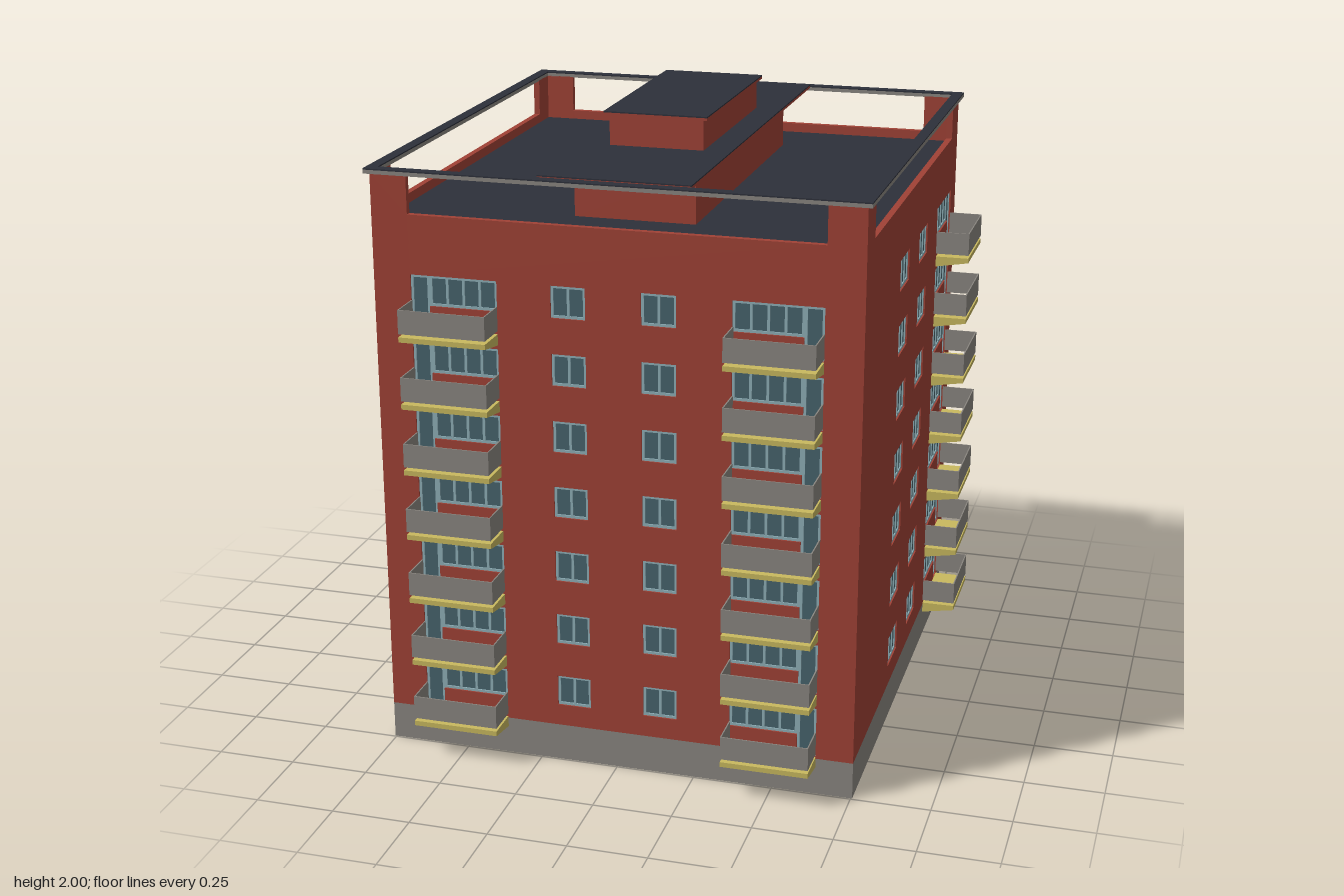
import * as THREE from 'three';

const mat = (color) => new THREE.MeshStandardMaterial({ color });
const RED = mat(0xa04236), GREY = mat(0x8a8680), DARK = mat(0x2d303a);
const YELLOW = mat(0xc9b95f), FRAME = mat(0x8fb0b8), GLASS = mat(0x47646d);

const T = 0.02;                 // wall thickness
const HX = 0.755, HZ = 0.7925;  // half width and half depth of the body
const ZC = -0.0475;             // centre of the body in z
const BASE = 0.12, SILL = 1.75, TOP = 1.872, DECK = 1.72;
const FLOORS = 7, PITCH = 0.2125, FIRST = 0.29; // FIRST: window head, lowest floor
const BAL_W = 0.275, DOOR_W = 0.06, BAL_D = 0.11;

function add(parent, name, geometry, material) {
  const mesh = new THREE.Mesh(geometry, material);
  mesh.name = name;
  parent.add(mesh);
  return mesh;
}

// Box given by its limits
function box(parent, name, material, x0, x1, y0, y1, z0, z1) {
  const m = add(parent, name, new THREE.BoxGeometry(x1 - x0, y1 - y0, z1 - z0), material);
  m.position.set((x0 + x1) / 2, (y0 + y1) / 2, (z0 + z1) / 2);
  return m;
}

const path = (pts, Type = THREE.Path) => new Type(pts.map(([x, y]) => new THREE.Vector2(x, y)));
const rect = (x0, x1, y0, y1) => [[x0, y0], [x1, y0], [x1, y1], [x0, y1]];

function extrude(shape, depth) {
  return new THREE.ExtrudeGeometry(shape, { depth, bevelEnabled: false });
}

// Recessed window: frame with n panes, glass behind it
function addWindow(parent, x0, x1, y0, y1, n) {
  const b = 0.008, pane = (x1 - x0 - b * (n + 1)) / n;
  const shape = path(rect(x0, x1, y0, y1), THREE.Shape);
  for (let i = 0; i < n; i++) {
    const px = x0 + b + i * (pane + b);
    shape.holes.push(path(rect(px, px + pane, y0 + b, y1 - b)));
  }
  const frame = add(parent, 'windowFrame', extrude(shape, 0.012), FRAME);
  frame.position.z = -0.017;
  box(parent, 'windowGlass', GLASS, x0 + 0.002, x1 - 0.002, y0 + 0.002, y1 - 0.002, -0.013, -0.009);
}

// Balcony: tapered slab and a three-sided parapet
function addBalcony(parent, cx, head) {
  const g = new THREE.Group();
  g.name = 'balcony';
  g.position.set(cx, head, 0);
  const profile = path([[0, -0.2], [BAL_D, -0.181], [BAL_D, -0.165], [0, -0.165]], THREE.Shape);
  const slab = extrude(profile, BAL_W);
  slab.rotateY(-Math.PI / 2).translate(BAL_W / 2, 0, 0);
  add(g, 'balconySlab', slab, YELLOW);
  const h = BAL_W / 2, t = 0.004, y0 = -0.155, y1 = -0.08;
  box(g, 'parapetFront', GREY, -h, h, y0, y1, BAL_D - t, BAL_D);
  for (const s of [-1, 1]) {
    const side = box(g, 'parapetSide', GREY, -t / 2, t / 2, y0, y1, 0, BAL_D - t);
    side.position.x = s * (h - t / 2);
  }
  parent.add(g);
}

// One facade, outer face at local z = 0.
// windows: [centre, width, panes]; balconies: [centre, side of the door]
function addFacade(parent, name, half, notch, windows, balconies) {
  const g = new THREE.Group();
  g.name = name;
  const wall = path([
    [-half, BASE], [half, BASE], [half, TOP], [notch, TOP],
    [notch, SILL], [-notch, SILL], [-notch, TOP], [-half, TOP],
  ], THREE.Shape);
  for (let f = 0; f < FLOORS; f++) {
    const head = FIRST + f * PITCH;
    for (const [c, w, n] of windows) {
      const r = [c - w / 2, c + w / 2, head - 0.1, head];
      wall.holes.push(path(rect(...r)));
      addWindow(g, ...r, n);
    }
    for (const [c, s] of balconies) {
      const out = c + s * BAL_W / 2, inn = c - s * BAL_W / 2, mid = out - s * DOOR_W;
      const sill = head - 0.095, floor = head - 0.163;
      wall.holes.push(path([[inn, head], [out, head], [out, floor], [mid, floor], [mid, sill], [inn, sill]]));
      addWindow(g, Math.min(inn, mid), Math.max(inn, mid), sill, head, 4);
      addWindow(g, Math.min(mid, out), Math.max(mid, out), floor, head, 1);
      addBalcony(g, c, head);
    }
  }
  add(g, 'wall', extrude(wall, T), RED).position.z = -T;
  box(g, 'plinth', GREY, -half, half, 0, BASE, -T, 0);
  parent.add(g);
  return g;
}

// Flat rectangular ring lying on y0
function addRing(parent, name, material, y0, y1) {
  const shape = path(rect(-0.77, 0.77, -0.8075, 0.8075), THREE.Shape);
  shape.holes.push(path(rect(-0.735, 0.735, -0.7725, 0.7725)));
  const geo = extrude(shape, y1 - y0).rotateX(-Math.PI / 2).translate(0, y0, ZC);
  add(parent, name, geo, material);
}

export function createModel() {
  const model = new THREE.Group();
  model.name = 'apartmentBlock';

  // Facades
  const front = addFacade(model, 'frontFacade', HX, 0.64,
    [[-0.14, 0.108, 2], [0.14, 0.108, 2]], [[-0.5, -1], [0.5, 1]]);
  front.position.z = ZC + HZ;

  const back = addFacade(model, 'backFacade', HX, 0.64,
    [-0.41, -0.137, 0.137, 0.41].map((x) => [x, 0.108, 2]), []);
  back.position.z = ZC - HZ;
  back.rotation.y = Math.PI;

  for (const s of [1, -1]) {
    const side = addFacade(model, s > 0 ? 'leftFacade' : 'rightFacade', HZ - T, 0.6775,
      [[-0.1675 * s, 0.15, 3], [0.1625 * s, 0.15, 3]], [[0.565 * s, s]]);
    side.position.set(s * HX, 0, ZC);
    side.rotation.y = s * Math.PI / 2;
  }

  // Roof deck and the rim carried by the corner posts
  const ix = HX - T, iz = HZ - T;
  box(model, 'roofDeck', DARK, -ix, ix, DECK - 0.02, DECK, ZC - iz, ZC + iz);
  addRing(model, 'rim', GREY, 1.87, 1.882);
  addRing(model, 'rimCover', DARK, 1.882, 1.886);

  // Central roof structure with its long slab
  box(model, 'roofHousing', RED, -0.19, 0.19, DECK, 1.88, -0.605, 0.515);
  box(model, 'roofSlab', RED, -0.235, 0.235, 1.88, 1.888, -0.82, 0.725);
  box(model, 'roofSlabCover', DARK, -0.235, 0.235, 1.888, 1.892, -0.82, 0.725);

  // Lift house
  box(model, 'liftHouse', RED, -0.15, 0.15, 1.892, 1.99, -0.38, 0.285);
  box(model, 'liftHouseCap', RED, -0.165, 0.165, 1.988, 1.996, -0.395, 0.3);
  box(model, 'liftHouseCover', DARK, -0.165, 0.165, 1.996, 2, -0.395, 0.3);

  return model;
}
